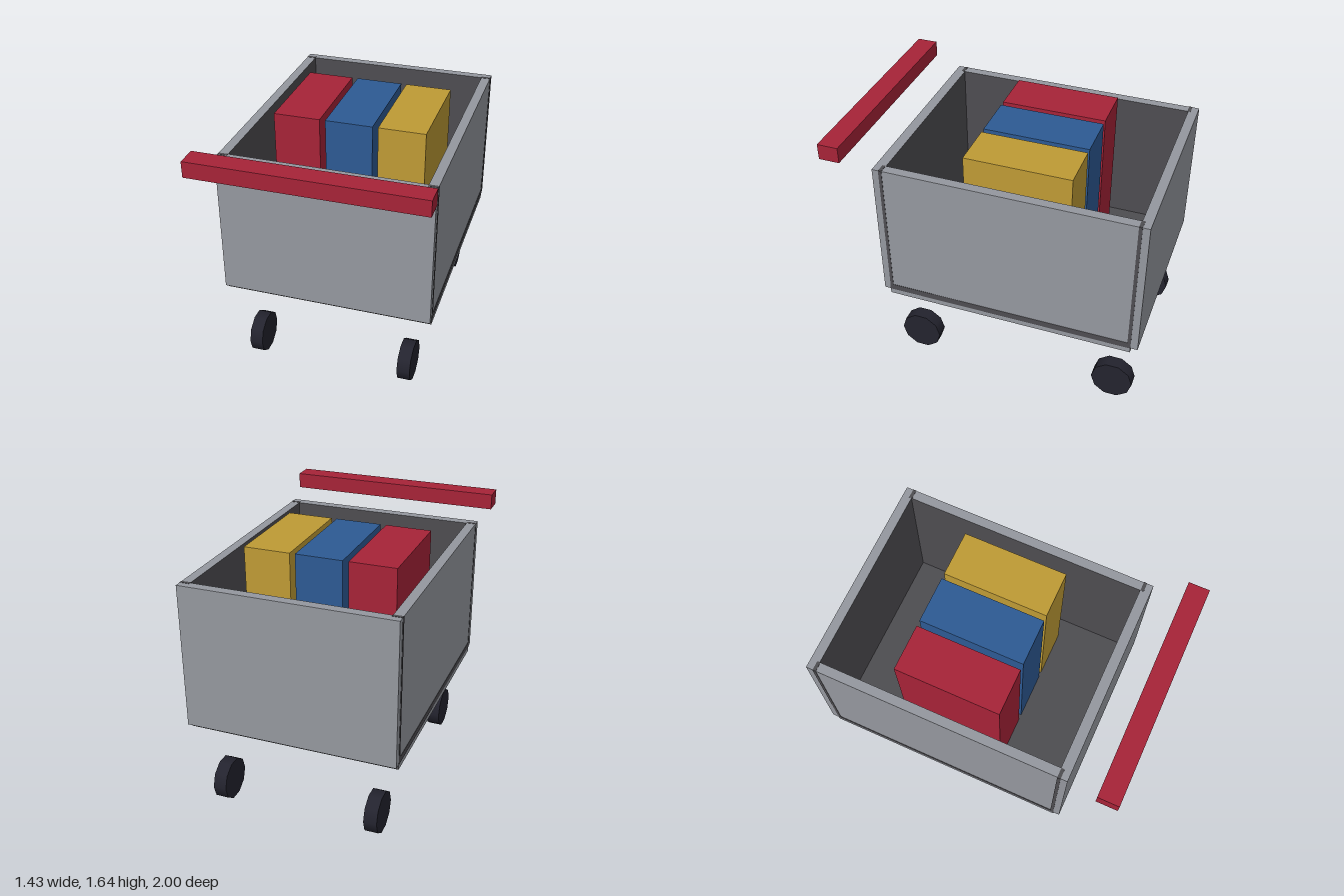
import * as THREE from 'three';

const mat = (name, color) => {
  const m = new THREE.MeshStandardMaterial({ color });
  m.name = name;
  return m;
};

export function createModel() {
  const model = new THREE.Group();
  model.name = 'cart';
  const grey = mat('lightGrey', 0x95989f);
  const dark = mat('darkGrey', 0x4e4d51);
  const red = mat('red', 0xa72338);
  const blue = mat('blue', 0x2d5a94);
  const yellow = mat('yellow', 0xbf9b35);
  const tyre = mat('tyreBlack', 0x23232e);

  // Box given by its min and max corners
  const box = (name, [x0, x1], [y0, y1], [z0, z1], material) => {
    const mesh = new THREE.Mesh(new THREE.BoxGeometry(x1 - x0, y1 - y0, z1 - z0), material);
    mesh.position.set((x0 + x1) / 2, (y0 + y1) / 2, (z0 + z1) / 2);
    mesh.name = name;
    model.add(mesh);
    return mesh;
  };

  // Basket floor and end walls: grey outside, dark inside and below
  box('basketFloor', [-0.61, 0.61], [0.55, 0.62], [-0.955, 0.64], dark);
  box('frontWall', [-0.67, 0.67], [0.585, 1.51], [0.615, 0.68], [grey, grey, grey, dark, grey, dark]);
  box('backWall', [-0.67, 0.67], [0.585, 1.51], [-1, -0.94], [grey, grey, grey, dark, dark, grey]);

  for (const s of [1, -1]) {
    const side = s > 0 ? 'left' : 'right';
    const span = (a, b) => (s > 0 ? [a, b] : [-b, -a]);
    const faces = s > 0 ? [grey, dark, grey, dark, dark, dark] : [dark, grey, grey, dark, dark, dark];

    // Side wall and the sill that runs under the end walls
    box(side + 'Wall', span(0.61, 0.67), [0.585, 1.51], [-0.94, 0.615], faces);
    box(side + 'Sill', span(0.61, 0.67), [0.55, 0.585], [-0.955, 0.64], faces);

    // Dark seam around the side panel, and at the top corners
    const skin = span(0.668, 0.672);
    box(side + 'BottomSeam', skin, [0.585, 0.625], [-0.955, 0.64], dark);
    for (const [end, z] of [['Front', [0.617, 0.638]], ['Back', [-0.956, -0.935]]]) {
      box(side + end + 'Seam', skin, [0.625, 1.51], z, dark);
      box(side + end + 'CornerSeam', span(0.61, 0.67), [1.508, 1.512], z, dark);
    }

    // Ten-sided wheels
    for (const [end, z] of [['Front', 0.51], ['Back', -0.83]]) {
      const wheel = new THREE.Mesh(new THREE.CylinderGeometry(0.135, 0.135, 0.085, 10), tyre);
      wheel.rotation.z = Math.PI / 2;
      wheel.position.set(s * 0.503, 0.129, z);
      wheel.name = side + end + 'Wheel';
      model.add(wheel);
    }
  }

  // Goods standing in the basket
  box('redBox', [-0.49, -0.19], [0.62, 1.59], [-0.5, 0.175], red);
  box('blueBox', [-0.153, 0.15], [0.62, 1.59], [-0.5, 0.175], blue);
  box('yellowBox', [0.185, 0.485], [0.62, 1.59], [-0.5, 0.175], yellow);

  // Push handle
  box('handle', [-0.715, 0.715], [1.54, 1.642], [0.867, 1], red);
  return model;
}
